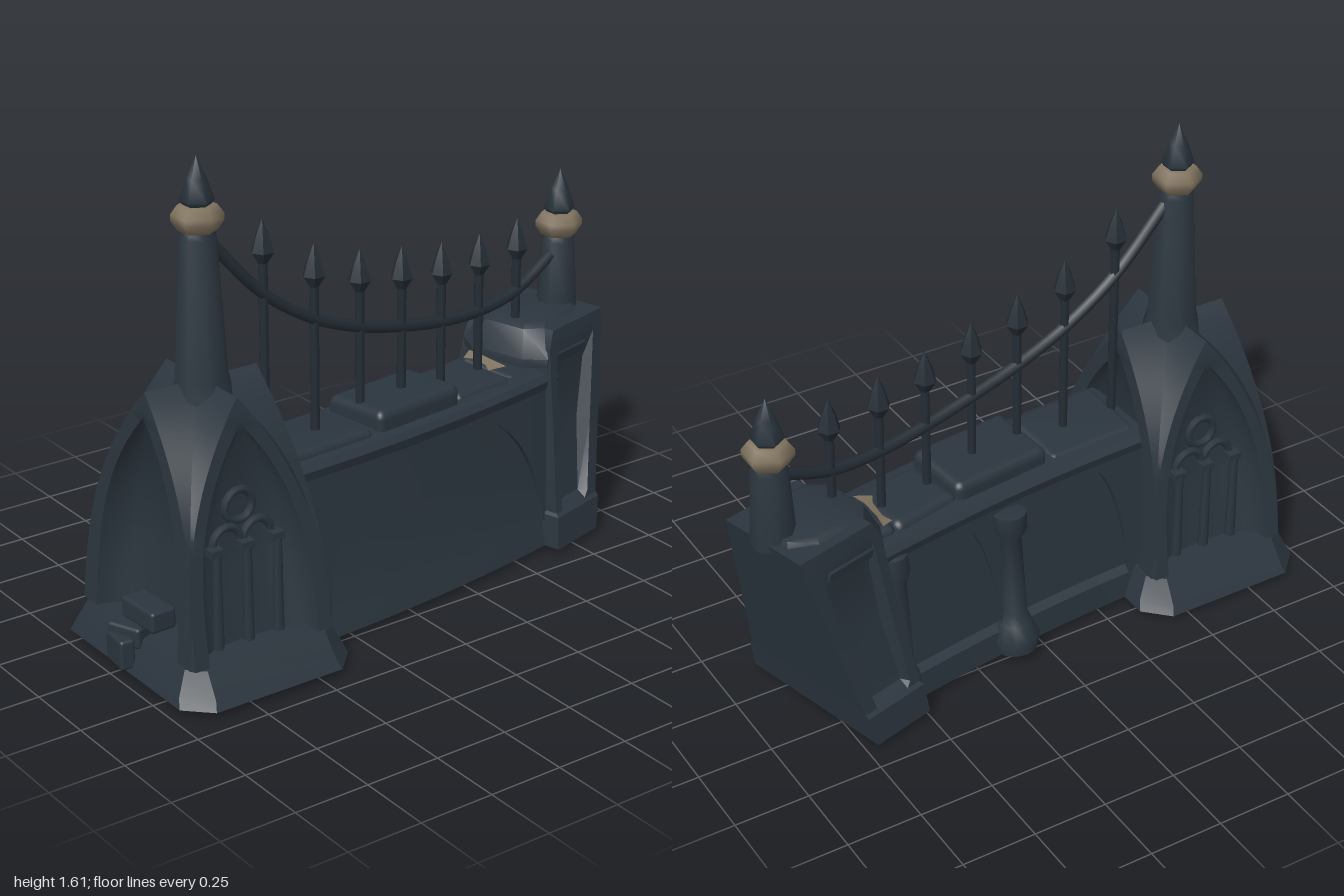
import * as THREE from 'three';
import { toCreasedNormals } from 'three/addons/utils/BufferGeometryUtils.js';
import { RoundedBoxGeometry } from 'three/addons/geometries/RoundedBoxGeometry.js';

export function createModel() {
  const model = new THREE.Group();
  const mat = (name, color) => {
    const m = new THREE.MeshStandardMaterial({ color, side: THREE.DoubleSide });
    m.name = name;
    return m;
  };
  const stone = mat('slate stone', 0x2b353e);
  const iron = mat('dark iron', 0x242d35);
  const tan = mat('tan stone', 0x80735f);

  const add = (name, geo, m, x = 0, y = 0, z = 0, parent = model) => {
    const mesh = new THREE.Mesh(geo, m);
    mesh.name = name;
    mesh.position.set(x, y, z);
    parent.add(mesh);
    return mesh;
  };
  // Skin over rows of points; closed joins each row's ends
  const grid = (rows, closed = false, crease = 0.6) => {
    const n = rows[0].length, idx = [];
    for (let i = 0; i < rows.length - 1; i++) {
      for (let j = 0; j < (closed ? n : n - 1); j++) {
        const a = i * n + j, b = i * n + (j + 1) % n;
        idx.push(a, a + n, b, b, a + n, b + n);
      }
    }
    const g = new THREE.BufferGeometry();
    g.setAttribute('position', new THREE.Float32BufferAttribute(rows.flat(2), 3));
    g.setIndex(idx);
    g.computeVertexNormals();
    return toCreasedNormals(g, crease);
  };
  const collapse = (row) => {
    const c = [0, 1, 2].map((k) => row.reduce((s, p) => s + p[k], 0) / row.length);
    return row.map(() => c);
  };
  const steps = (n) => Array.from({ length: n + 1 }, (_, i) => i / n);

  // Centre line of the curving wall
  const cx = (z) => 0.035 - 0.08 * (z - 0.66) ** 2;
  const turn = (z) => Math.atan2(-0.16 * (z - 0.66), 1);

  // ---- Front tower ----
  const tower = new THREE.Group();
  tower.name = 'frontTower';
  tower.position.set(0.03, 0, 0.66);
  model.add(tower);

  // Flared plinth with cut corners, hollow inside
  const octagon = (a, b, c, y) => [[a - c, b], [a, b - c], [a, c - b], [a - c, -b],
    [c - a, -b], [-a, c - b], [-a, b - c], [c - a, b]].map(([x, z]) => [x, y, z]);
  add('towerPlinth', grid([octagon(0.403, 0.31, 0.08, 0.02), octagon(0.385, 0.3, 0.08, 0.05),
    octagon(0.335, 0.265, 0.05, 0.125), octagon(0.3, 0.235, 0.08, 0.125)], true, 0.3), stone, 0, 0, 0, tower);

  // Four pointed gables, each with a rounded niche, joined by broad corner ribs
  const arch = (y, top, w, p) => w * (1 - Math.max(0, Math.min(1, (y - 0.12) / (top - 0.12))) ** p);
  const outer = (y, f) => arch(y, 0.91, f.w, 2.5);
  const lean = (t, f) => f.d0 + (f.d1 - f.d0) * t;
  const faces = {
    front: { w: 0.31, v: 0.235, d0: 0.26, d1: 0.2, depth: 0.13 },
    side: { w: 0.25, v: 0.2, d0: 0.325, d1: 0.195, depth: 0.1 },
  };
  const gable = (f, other) => {
    const rows = steps(28).map((t) => {
      const y = 0.127 + 0.783 * t;
      const d = lean(t, f), w = outer(y, f), wo = outer(y, other);
      const v = Math.min(w, arch(y, 0.83, f.v, 3));
      const fill = 0.35 * (1 - t ** 6);
      const gx = w + fill * Math.max(0, lean(t, other) - w);
      const gz = Math.min(d, wo + fill * Math.max(0, d - wo));
      const deep = f.depth * Math.min(1, v / (f.v * 0.95));
      const niche = steps(14).map((k) => {
        const s = -Math.cos(k * Math.PI);
        return [s * v, y, d - deep * (1 - s ** 4) ** 0.6];
      });
      return [[-gx, y, gz], [-w, y, d], [-v, y, d], ...niche, [v, y, d], [w, y, d], [gx, y, gz]];
    });
    // first row lies flat on the face plane, making the niche floor
    const floor = rows[0].map(([x, y, z], i, r) => [x, y, i > 1 && i < r.length - 2 ? f.d0 : z]);
    return grid([floor, ...rows]);
  };
  for (let i = 0; i < 4; i++) {
    const [f, o] = i % 2 ? [faces.side, faces.front] : [faces.front, faces.side];
    add('towerGable', gable(f, o), stone, 0, 0, 0, tower).rotation.y = i * Math.PI / 2;
  }

  // Tracery inside the two side niches
  for (const s of [1, -1]) {
    const tracery = new THREE.Group();
    tracery.name = 'sideTracery';
    tower.add(tracery);
    for (const z of [-0.11, 0, 0.11]) {
      add('colonnette', new THREE.CylinderGeometry(0.014, 0.018, 0.32, 8), stone, s * 0.235, 0.28, z, tracery);
      add('colonnetteCap', new THREE.BoxGeometry(0.04, 0.025, 0.045), stone, s * 0.225, 0.445, z, tracery);
    }
    for (const z of [-0.055, 0.055]) {
      add('smallArch', new THREE.TorusGeometry(0.05, 0.014, 6, 12, Math.PI), stone, s * 0.205, 0.455, z, tracery)
        .rotation.y = Math.PI / 2;
    }
    add('roundel', new THREE.TorusGeometry(0.05, 0.014, 6, 14), stone, s * 0.19, 0.56, 0, tracery)
      .rotation.y = Math.PI / 2;
  }

  // Broken stones at the foot of the front niche
  const rubble = [
    [0.17, 0.07, 0.09, 0.06, 0.205, 0.89, 0.05], [0.12, 0.07, 0.1, 0.01, 0.13, 0.92, 0.4],
    [0.11, 0.1, 0.05, 0.02, 0.085, 0.97, -0.1], [0.18, 0.024, 0.16, -0.01, 0.012, 0.87, 0.03],
  ];
  for (const [w, h, d, x, y, z, r] of rubble) {
    add('rubbleStone', new RoundedBoxGeometry(w, h, d, 2, 0.011), stone, x, y, z).rotation.y = r;
  }

  // ---- Pinnacles ----
  const lathe = (pts, n, crease = 0.4) =>
    toCreasedNormals(new THREE.LatheGeometry(pts.map(([r, y]) => new THREE.Vector2(r, y)), n), crease);
  const pinnacle = (name, x, z, base, neck) => {
    const g = new THREE.Group();
    g.name = name;
    g.position.set(x, 0, z);
    g.rotation.y = Math.PI / 6;
    model.add(g);
    add('shaft', lathe([...base, [0.058, neck - 0.02], [0.05, neck]], 8, 0.9), stone, 0, 0, 0, g);
    add('collar', lathe([[0.045, neck], [0.06, neck], [0.08, neck + 0.03], [0.08, neck + 0.05],
      [0.06, neck + 0.078], [0.04, neck + 0.08]], 6, 1.2), tan, 0, 0, 0, g);
    add('spike', lathe([[0.035, neck + 0.07], [0.053, neck + 0.092], [0.03, neck + 0.16], [0, neck + 0.23]], 6, 1.2),
      stone, 0, 0, 0, g);
  };
  pinnacle('frontPinnacle', 0.033, 0.66, [[0.11, 0.82], [0.085, 0.92]], 1.38);
  pinnacle('rearPinnacle', -0.165, -0.91, [[0.074, 0.72], [0.07, 0.78]], 1.0);

  // ---- Curving wall, open underneath: smooth outer flank, stepped inner flank ----
  const coping = [[0.145, 0.54], [0.168, 0.555], [0.175, 0.585], [0.158, 0.605], [0.11, 0.615]];
  const right = [[0.23, 0.02], [0.213, 0.09], [0.193, 0.16], [0.168, 0.35], ...coping];
  const left = [[0.228, 0.02], [0.22, 0.11], [0.195, 0.13], [0.168, 0.35], ...coping];
  const ring = [...right, ...left.map(([w, y]) => [-w, y]).reverse()];
  const wallRows = steps(14).map((t) => {
    const z = 0.46 - 1.2 * t;
    return ring.map(([w, y]) => [cx(z) + w, y, z]);
  });
  add('wall', grid(wallRows, false, 0.6), stone);

  // Raised spandrels around blind arches on both flanks
  const flank = (y) => 0.195 - 0.05 * (y - 0.13) / 0.41;
  const spandrel = (s, mid, half, reach) => {
    const zs = [mid + reach, ...steps(24).map((t) => mid + half * Math.cos(t * Math.PI)), mid - reach];
    return grid(zs.map((z, i) => {
      const k = (z - mid) / half;
      const rise = i === 0 || i === zs.length - 1 ? 0 : Math.max(0, 1 - Math.abs(k) ** 2.2) ** 0.5;
      const y0 = Math.min(0.555, 0.11 + 0.48 * rise);
      const at = (y, off) => [cx(z) + s * (flank(y) + off), y, z];
      return [at(y0, -0.01), at(y0, 0.022), at(0.56, 0.022)];
    }), false, 0.4);
  };
  add('rightSpandrel', spandrel(1, -0.15, 0.48, 0.58), stone);
  for (const mid of [0.16, -0.36]) add('leftSpandrel', spandrel(-1, mid, 0.21, 0.26), stone);

  // Half column between the arches on the inner flank
  const column = lathe([[0, 0.03], [0.072, 0.03], [0.08, 0.08], [0.058, 0.13], [0.042, 0.17], [0.035, 0.45],
    [0.055, 0.48], [0.055, 0.54], [0, 0.55]], 12, 0.9);
  add('flankColumn', column, stone, -0.238, 0, -0.1).rotation.z = -0.08;

  // Worn capping slabs
  const slabs = [[0.27, 0.34, 0.26, 0.6, 0.06], [-0.1, 0.36, 0.27, 0.63, 0.09],
    [-0.4, 0.25, 0.23, 0.605, 0.06], [-0.62, 0.2, 0.22, 0.6, 0.06]];
  slabs.forEach(([z, len, w, y, h], k) => {
    const g = new RoundedBoxGeometry(w, h, len, 4, 0.028);
    const p = g.attributes.position;
    for (let i = 0; i < p.count; i++) {
      const f = 1 + 0.08 * Math.sin(p.getZ(i) * 21 + k * 2);
      p.setX(i, p.getX(i) * f);
      p.setY(i, p.getY(i) + 0.008 * Math.sin(p.getX(i) * 17 + k));
    }
    g.computeVertexNormals();
    add('cappingSlab', g, stone, cx(z), y, z).rotation.y = turn(z);
  });
  // Chipped edge showing paler stone
  const chip = [[[-0.165, 0.632, -0.505], [-0.13, 0.635, -0.52], [-0.06, 0.637, -0.515], [-0.02, 0.634, -0.495]],
    [[-0.19, 0.642, -0.55], [-0.14, 0.648, -0.545], [-0.06, 0.648, -0.545], [0.0, 0.642, -0.555]]];
  add('chippedEdge', grid(chip), tan, 0, 0.008, 0);

  // ---- Rear pier: leans outward, with a sunk panel on each side, open underneath ----
  const pier = new THREE.Group();
  pier.name = 'rearPier';
  pier.position.set(-0.12, 0, -0.68);
  pier.rotation.y = 0.262;
  model.add(pier);
  const pierRing = (y, r, front, back, inset) => {
    const half = [[r, -back], [r, -back + 0.05], [r - inset, -back + 0.065],
      [r - inset, -front - 0.05], [r, -front - 0.035], [r, -front]];
    return [...half, ...half.map(([x, z]) => [-x, z]).reverse()].map(([x, z]) => [x, y, z]);
  };
  const pierBody = [[0.02, 0.287, -0.11, 0.115, 0], [0.13, 0.275, -0.1, 0.14, 0], [0.14, 0.262, -0.09, 0.142, 0],
    [0.16, 0.258, -0.09, 0.147, 0.03], [0.4, 0.22, -0.06, 0.205, 0.045], [0.6, 0.188, -0.04, 0.255, 0.03],
    [0.69, 0.175, -0.03, 0.275, 0], [0.75, 0.165, 0, 0.29, 0]].map((a) => pierRing(...a));
  add('pierBody', grid([...pierBody, collapse(pierBody[7])], true, 0.5), stone, 0, 0, 0, pier);
  const capRing = (y, w, z0, z1) => [[w, z0 + 0.08], [w * 0.6, z0], [-w * 0.6, z0], [-w, z0 + 0.08],
    [-w, z1 - 0.05], [-w * 0.6, z1], [w * 0.6, z1], [w, z1 - 0.05]].map(([x, z]) => [x, y, z]);
  const cap = [capRing(0.63, 0.17, -0.26, 0.09), capRing(0.66, 0.175, -0.26, 0.09),
    capRing(0.75, 0.13, -0.26, 0.05), capRing(0.765, 0.11, -0.25, 0.02)];
  add('pierCap', grid([collapse(cap[0]), ...cap, collapse(cap[3])], true, 0.6), stone, 0, 0, 0, pier);
  // Rounded buttress where the pier meets the wall
  add('pierButtress', lathe([[0, 0.03], [0.065, 0.03], [0.06, 0.12], [0.045, 0.14], [0.04, 0.46], [0.055, 0.5], [0.05, 0.56],
    [0, 0.58]], 10, 0.9), stone, -0.275, 0, -0.54).rotation.z = -0.1;

  // ---- Iron railing ----
  const spears = [[0.43, 1.37], [0.235, 1.25], [0.05, 1.19], [-0.13, 1.155], [-0.31, 1.125], [-0.49, 1.11], [-0.68, 1.115]];
  for (const [z, tip] of spears) {
    const bar = new THREE.Group();
    bar.name = 'railingSpear';
    bar.position.set(cx(z), 0, z);
    model.add(bar);
    add('bar', new THREE.CylinderGeometry(0.016, 0.016, tip - 0.72, 6), iron, 0, (tip + 0.52) / 2, 0, bar);
    add('spearhead', lathe([[0.014, tip - 0.145], [0.038, tip - 0.105], [0.022, tip - 0.05], [0, tip]], 6), iron, 0, 0, 0, bar);
  }
  const sag = [[0.63, 1.345], [0.43, 1.13], [0.24, 1.005], [0.05, 0.93], [-0.13, 0.885], [-0.31, 0.853],
    [-0.5, 0.84], [-0.68, 0.86], [-0.88, 0.945]];
  const path = new THREE.CatmullRomCurve3(sag.map(([z, y]) => new THREE.Vector3(cx(z), y, z)));
  add('saggingRail', new THREE.TubeGeometry(path, 40, 0.02, 6), iron);

  return model;
}
